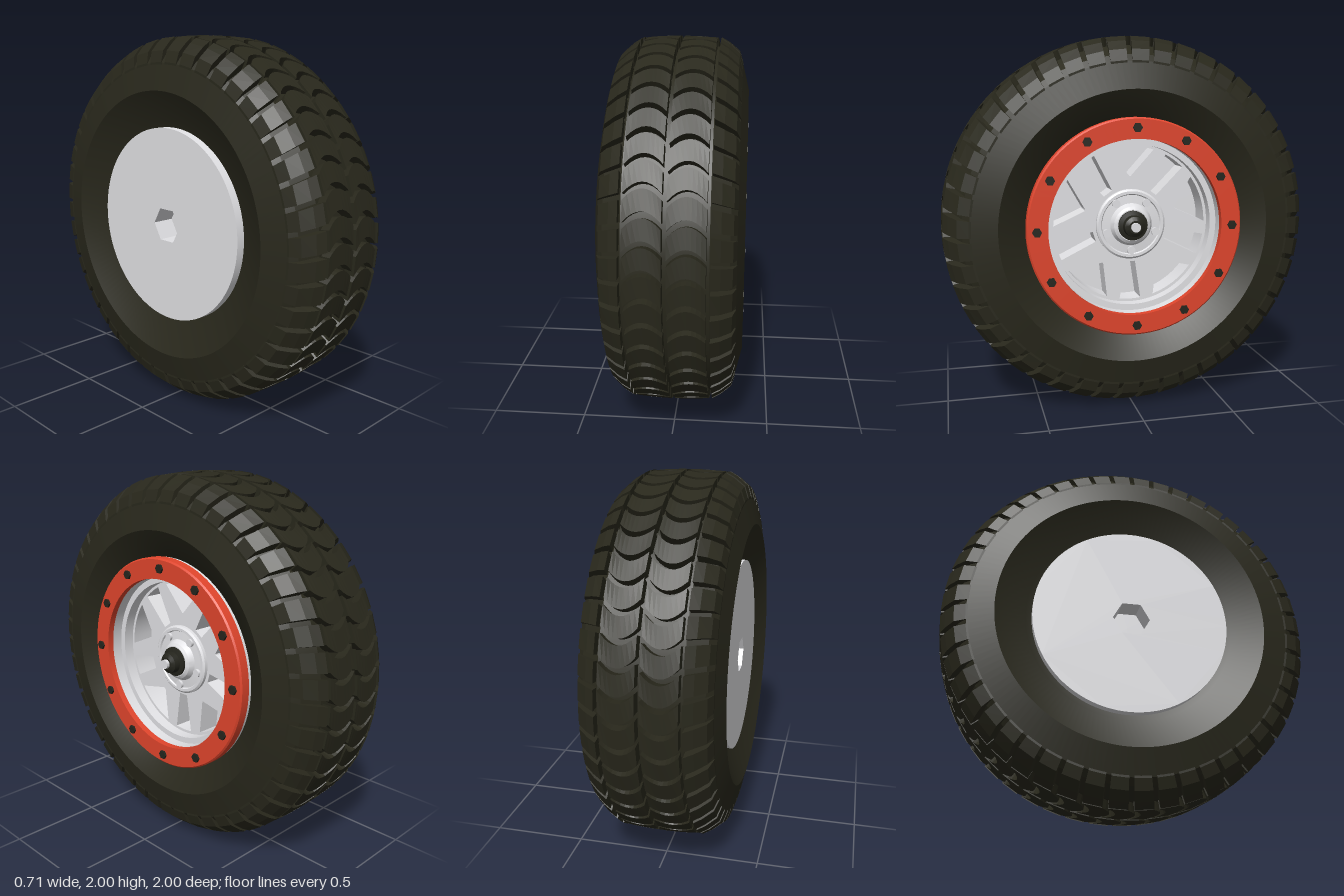
import * as THREE from 'three';
import { toCreasedNormals, mergeGeometries } from 'three/addons/utils/BufferGeometryUtils.js';

const rubber = new THREE.MeshStandardMaterial({ name: 'dark rubber', color: 0x29281c });
const red = new THREE.MeshStandardMaterial({ name: 'red ring', color: 0xe0452c });
const silver = new THREE.MeshStandardMaterial({ name: 'silver metal', color: 0xe2e2e5 });
const black = new THREE.MeshStandardMaterial({ name: 'dark steel', color: 0x25251d });

const LUGS = 48;
const TAU = Math.PI * 2;
const deg = Math.PI / 180;

function mesh(name, geometry, material) {
  const m = new THREE.Mesh(geometry, material);
  m.name = name;
  return m;
}

// Turned part around the z axis from [radius, z] points.
function turned(points, segments = 96) {
  const g = new THREE.LatheGeometry(points.map(([r, z]) => new THREE.Vector2(r, z)), segments);
  g.rotateX(Math.PI / 2);
  return toCreasedNormals(g, 0.35);
}

// Prism from z0 to z1, centred at polar position (r, a).
function stud(radius, z0, z1, sides, r = 0, a = 0) {
  const g = new THREE.CylinderGeometry(radius, radius, z1 - z0, sides, 1, false, Math.PI / 6);
  g.rotateX(Math.PI / 2);
  g.translate(r * Math.cos(a), r * Math.sin(a), (z0 + z1) / 2);
  return toCreasedNormals(g, 0.7);
}

function extruded(shape, z0, z1) {
  const g = new THREE.ExtrudeGeometry(shape, { depth: z1 - z0, bevelEnabled: false, curveSegments: 64 });
  g.translate(0, 0, z0);
  return toCreasedNormals(g, 0.35);
}

function disc(r) {
  return new THREE.Shape().absarc(0, 0, r, 0, TAU, false);
}

// Tread lug lofted through slices {z, base, top, a0, a1}, ordered by rising z.
function lug(slices, out) {
  const corners = slices.map((s) => [[s.base, s.a0], [s.top, s.a0], [s.top, s.a1], [s.base, s.a1]]
    .map(([r, a]) => [r * Math.cos(a), r * Math.sin(a), s.z]));
  const quad = (a, b, c, d) => out.push(...a, ...b, ...c, ...a, ...c, ...d);
  for (let i = 0; i < corners.length - 1; i++) {
    const p = corners[i], q = corners[i + 1];
    for (let k = 0; k < 3; k++) quad(p[k], p[k + 1], q[k + 1], q[k]);
  }
  const first = corners[0], last = corners[corners.length - 1];
  quad(first[3], first[2], first[1], first[0]);
  quad(last[0], last[1], last[2], last[3]);
}

function lugGeometry(positions) {
  const g = new THREE.BufferGeometry();
  g.setAttribute('position', new THREE.Float32BufferAttribute(positions, 3));
  g.computeVertexNormals();
  return g;
}

function createTire() {
  const tire = new THREE.Group();
  tire.name = 'tire';
  tire.add(mesh('carcass', turned([
    [0.48, -0.2], [0.5, -0.25], [0.56, -0.268], [0.72, -0.355], [0.86, -0.32], [0.895, -0.29], [0.945, -0.2],
    [0.945, 0.2], [0.895, 0.29], [0.86, 0.32], [0.72, 0.355], [0.58, 0.275], [0.55, 0.25],
  ], 144), rubber));

  const crown = [], shoulder = [];
  const step = TAU / LUGS;
  for (let n = 0; n < LUGS; n++) {
    for (const side of [-1, 1]) {
      const start = (n + (side > 0 ? 0.25 : 0)) * step;

      // crescent-shaped crown lugs
      const arc = [];
      for (let i = 0; i <= 8; i++) {
        const t = i / 4 - 1;
        const bow = -0.052 * (1 - t * t);
        const z = side * (0.099 + 0.088 * t);
        arc.push({
          z, base: 0.935, top: 1 - 0.25 * z * z,
          a0: start + bow, a1: start + bow + step * 0.77,
        });
      }

      // slightly slanted shoulder lugs running onto the sidewall
      const edge = [[0.206, 0.925, 0.992], [0.25, 0.9, 0.967], [0.304, 0.87, 0.922], [0.322, 0.845, 0.864]]
        .map(([z, base, top]) => {
          const lean = (z - 0.206) * 0.2;
          return { z: side * z, base, top, a0: start + lean, a1: start + lean + step * 0.77 };
        });

      if (side < 0) { arc.reverse(); edge.reverse(); }
      lug(arc, crown);
      lug(edge, shoulder);
    }
  }
  tire.add(mesh('crownLugs', lugGeometry(crown), rubber));
  tire.add(mesh('shoulderLugs', lugGeometry(shoulder), rubber));
  return tire;
}

// Spoke window: width 2 * inner at radius r0, opening to +-half degrees at r1.
function wedge(angle, half, r0, r1, inner) {
  const at = (r, a) => new THREE.Vector2(r * Math.cos(a * deg), r * Math.sin(a * deg));
  const spread = Math.atan(inner / r0) / deg;
  const points = [at(r0, angle + spread), at(r0, angle - spread)];
  for (let i = -3; i <= 3; i++) points.push(at(r1, angle + (half * i) / 3));
  return new THREE.Path(points);
}

function createRim() {
  const rim = new THREE.Group();
  rim.name = 'rim';
  rim.add(mesh('barrel', turned([
    [0.574, 0.24], [0.574, 0.325], [0.468, 0.325], [0.468, 0.25], [0.435, 0.25], [0.435, 0.06], [0, 0.06],
  ]), silver));

  // forked spokes: five wide windows and five narrow slots
  const star = disc(0.437);
  for (let i = 0; i < 5; i++) {
    star.holes.push(wedge(90 + 72 * i, 18, 0.26, 0.42, 0.003));
    star.holes.push(wedge(54 + 72 * i, 8, 0.21, 0.42, 0.028));
  }
  rim.add(mesh('spokes', extruded(star, 0.06, 0.19), silver));

  // back plate with hexagonal drive socket
  const plate = disc(0.525);
  const hex = [];
  for (let i = 0; i < 6; i++) hex.push(new THREE.Vector2(0.1 * Math.cos(i * TAU / 6), 0.1 * Math.sin(i * TAU / 6)));
  plate.holes.push(new THREE.Path(hex));
  rim.add(mesh('backPlate', extruded(plate, -0.305, -0.17), silver));
  rim.add(mesh('socketFloor', stud(0.15, -0.18, -0.17, 24), silver));
  return rim;
}

function createBeadRing() {
  const ring = new THREE.Group();
  ring.name = 'beadRing';
  ring.add(mesh('clampRing', turned([
    [0.47, 0.29], [0.578, 0.29], [0.578, 0.338], [0.57, 0.346], [0.467, 0.346], [0.467, 0.31],
  ]), red));
  const bolts = [];
  for (let i = 0; i < 12; i++) bolts.push(stud(0.025, 0.335, 0.358, 6, 0.525, (i * TAU) / 12));
  ring.add(mesh('ringBolts', mergeGeometries(bolts), black));
  return ring;
}

function createHub() {
  const hub = new THREE.Group();
  hub.name = 'hub';
  hub.add(mesh('hubFlange', turned([
    [0.19, 0.15], [0.19, 0.208], [0.18, 0.216], [0.165, 0.216], [0.16, 0.208],
    [0.115, 0.212], [0.1, 0.24], [0.085, 0.25], [0, 0.25],
  ], 64), silver));
  const nuts = [];
  for (let i = 0; i < 5; i++) nuts.push(stud(0.022, 0.2, 0.225, 16, 0.142, (270 + 72 * i) * deg));
  hub.add(mesh('lugNuts', mergeGeometries(nuts), silver));
  hub.add(mesh('axleNut', turned([
    [0.08, 0.24], [0.08, 0.262], [0.058, 0.268], [0.055, 0.3], [0.035, 0.312], [0, 0.312],
  ], 32), black));
  hub.add(mesh('axleTip', stud(0.025, 0.3, 0.33, 20), silver));
  return hub;
}

export function createModel() {
  const model = new THREE.Group();
  model.name = 'wheel';
  model.add(createTire(), createRim(), createBeadRing(), createHub());
  // parts are built around z; turn the axle onto x and stand the wheel on the ground
  model.rotation.y = Math.PI / 2;
  model.position.y = 1;
  const root = new THREE.Group();
  root.name = 'wheelAssembly';
  root.add(model);
  return root;
}
